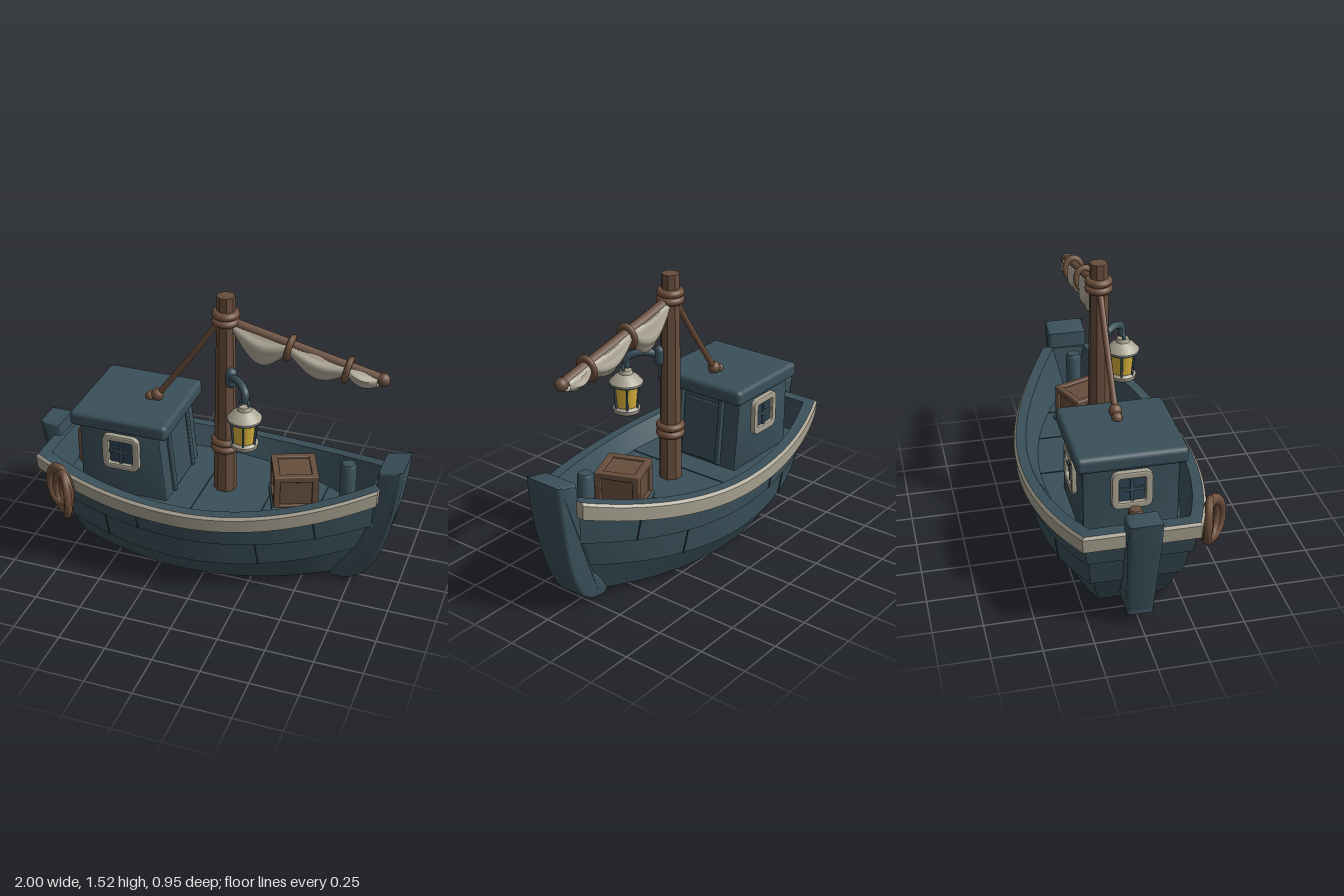
import * as THREE from 'three';
import { toCreasedNormals } from 'three/addons/utils/BufferGeometryUtils.js';
import { RoundedBoxGeometry } from 'three/addons/geometries/RoundedBoxGeometry.js';

const mat = (name, color, side = THREE.FrontSide) => new THREE.MeshStandardMaterial({ name, color, side });
const M = {
  hull: mat('slate paint', 0x3a505a, THREE.DoubleSide),
  seam: mat('dark seam', 0x26363d),
  trim: mat('weathered cream', 0xa9a392, THREE.DoubleSide),
  wood: mat('brown timber', 0x684e3d),
  rope: mat('brown rope', 0x6e4f3b),
  sail: mat('sail canvas', 0xb3ac9b, THREE.DoubleSide),
  pane: mat('window glass', 0x2e4353),
  glow: mat('lantern yellow', 0xdcb53c),
};
const V = (x, y, z) => new THREE.Vector3(x, y, z);

function add(parent, name, geo, material, pos = [0, 0, 0], rot = [0, 0, 0]) {
  const m = new THREE.Mesh(geo, material);
  m.name = name;
  m.position.set(...pos);
  m.rotation.set(...rot);
  parent.add(m);
  return m;
}
const box = (w, h, d, r = 0.012) => new RoundedBoxGeometry(w, h, d, 2, r);
const cyl = (rt, rb, h, n = 20) => new THREE.CylinderGeometry(rt, rb, h, n);
const lathe = (pts, n = 24) => toCreasedNormals(new THREE.LatheGeometry(pts.map(p => new THREE.Vector2(...p)), n), 0.6);
const tube = (pts, r, n = 24) => new THREE.TubeGeometry(new THREE.CatmullRomCurve3(pts.map(p => V(...p))), n, r, 10);

// Skin between rows of points; every row is a closed ring
function skin(rows, crease = 0.45) {
  const pos = [], n = rows[0].length;
  for (let i = 0; i < rows.length - 1; i++) for (let j = 0; j < n; j++) {
    const k = (j + 1) % n, a = rows[i][j], b = rows[i][k], c = rows[i + 1][k], d = rows[i + 1][j];
    for (const p of [a, d, b, b, d, c]) pos.push(p.x, p.y, p.z);
  }
  const g = new THREE.BufferGeometry();
  g.setAttribute('position', new THREE.Float32BufferAttribute(pos, 3));
  g.computeVertexNormals();
  return toCreasedNormals(g, crease);
}

// Point on a hull line: stern/bow x, half widths and heights at middle, stern, bow
function lineAt([x0, x1, zm, zs, zb, ym, ys, yb], x) {
  const mix = (mid, stern, bow, c) => {
    const t = x < c ? (c - x) / (c - x0) : (x - c) / (x1 - c);
    return mid + ((x < c ? stern : bow) - mid) * t * t;
  };
  return V(x, mix(ym, ys, yb, -0.05), mix(zm, zs, zb, -0.12));
}
// Ring from bow to stern along the left side and back along the right
function ring(line, n = 36) {
  const side = [];
  for (let i = 0; i <= n; i++) side.push(lineAt(line, line[1] + (line[0] - line[1]) * i / n));
  return [...side, ...side.map(p => V(p.x, p.y, -p.z)).reverse()];
}
const seamTop = [-0.87, 0.85, 0.385, 0.25, 0.08, 0.30, 0.38, 0.40];
const seamTopOut = [-0.88, 0.86, 0.402, 0.262, 0.092, 0.30, 0.38, 0.40];
const seamLow = [-0.81, 0.78, 0.352, 0.215, 0.065, 0.155, 0.22, 0.24];
const seamLowOut = [-0.82, 0.79, 0.372, 0.23, 0.078, 0.155, 0.22, 0.24];
const sheer = [-0.905, 0.87, 0.412, 0.27, 0.10, 0.42, 0.49, 0.565];
const bilge = [-0.72, 0.70, 0.27, 0.17, 0.05, 0.01, 0.045, 0.05];
const capOut = [-0.922, 0.88, 0.446, 0.282, 0.14, 0.498, 0.57, 0.648];
const capIn = [-0.86, 0.85, 0.395, 0.245, 0.09, 0.498, 0.57, 0.648];
const deckEdge = [-0.82, 0.81, 0.335, 0.21, 0.03, 0.40, 0.40, 0.40];

function buildHull(g) {
  const keel = [-0.70, 0.68, 0, 0, 0, 0.003, 0.04, 0.04];
  add(g, 'hullPlanking', skin([sheer, seamTopOut, seamTop, seamLowOut, seamLow, bilge, keel].map(l => ring(l))), M.hull);
  add(g, 'gunwale', skin([
    capOut, [-0.932, 0.882, 0.459, 0.291, 0.15, 0.484, 0.556, 0.634],
    [-0.925, 0.88, 0.455, 0.287, 0.145, 0.412, 0.482, 0.557],
    [-0.89, 0.865, 0.40, 0.255, 0.095, 0.412, 0.482, 0.557]].map(l => ring(l))), M.trim);
  add(g, 'bulwarkAndDeck', skin([[-0.75, 0.75, 0, 0, 0, 0.40, 0.40, 0.40], deckEdge, capIn, capOut].map(l => ring(l))), M.hull);
  // Plank joints on both sides, and across the deck
  const joints = [[-0.33, sheer, seamTopOut], [0.58, sheer, seamTopOut], [-0.52, seamTop, seamLowOut], [0.30, seamTop, seamLowOut]];
  for (const [x, top, low] of joints) for (const s of [1, -1]) {
    const a = lineAt(top, x), b = lineAt(low, x + 0.015);
    a.z = (a.z + 0.001) * s; b.z = (b.z + 0.001) * s;
    const m = add(g, 'plankJoint', new THREE.BoxGeometry(0.007, a.distanceTo(b), 0.006), M.seam, a.clone().add(b).multiplyScalar(0.5).toArray());
    m.quaternion.setFromUnitVectors(V(0, 1, 0), a.sub(b).normalize());
  }
  for (const x of [-0.07, 0.28, 0.55]) add(g, 'deckJoint', new THREE.BoxGeometry(0.007, 0.004, 2 * lineAt(deckEdge, x).z), M.seam, [x, 0.401, 0]);
}

// Bow and stern timbers: bevelled side outline, narrower towards the foot
function post(g, name, outer, inner, width, foot) {
  const s = new THREE.Shape();
  s.moveTo(...outer[0]);
  s.splineThru(outer.slice(1).map(p => new THREE.Vector2(...p)));
  inner.forEach(p => s.lineTo(...p));
  const geo = new THREE.ExtrudeGeometry(s, { depth: width - 0.04, bevelThickness: 0.02, bevelSize: 0.018, bevelOffset: -0.018, bevelSegments: 3, curveSegments: 20 });
  geo.translate(0, 0, 0.02 - width / 2);
  const p = geo.attributes.position;
  for (let i = 0; i < p.count; i++) p.setZ(i, p.getZ(i) * (foot + (1 - foot) * Math.min(1, p.getY(i) / 0.55)));
  add(g, name, toCreasedNormals(geo, 0.6), M.hull);
}

// Framed window facing +z
function makeWindow() {
  const w = new THREE.Group();
  w.name = 'window';
  const rr = (P, h, r) => {
    const s = new P();
    s.moveTo(-h + r, -h);
    for (let i = 0; i < 4; i++) {
      const a = i * Math.PI / 2 - Math.PI / 2, c = [[1, -1], [1, 1], [-1, 1], [-1, -1]][i];
      s.absarc(c[0] * (h - r), c[1] * (h - r), r, a, a + Math.PI / 2);
    }
    return s;
  };
  const f = rr(THREE.Shape, 0.094, 0.03);
  f.holes.push(rr(THREE.Path, 0.074, 0.018));
  add(w, 'windowFrame', new THREE.ExtrudeGeometry(f, { depth: 0.02, bevelThickness: 0.008, bevelSize: 0.008, bevelSegments: 2 }), M.trim);
  add(w, 'windowPane', new THREE.BoxGeometry(0.15, 0.15, 0.008), M.pane, [0, 0, 0.004]);
  add(w, 'windowBar', new THREE.BoxGeometry(0.15, 0.016, 0.016), M.hull, [0, 0, 0.01]);
  add(w, 'windowBar', new THREE.BoxGeometry(0.016, 0.15, 0.016), M.hull, [0, 0, 0.01]);
  return w;
}

function buildCabin(g) {
  const s = new THREE.Shape([[-0.69, 0.39], [-0.21, 0.39], [-0.25, 0.80], [-0.69, 0.80]].map(p => new THREE.Vector2(...p)));
  const body = new THREE.ExtrudeGeometry(s, { depth: 0.45, bevelThickness: 0.015, bevelSize: 0.012, bevelOffset: -0.012, bevelSegments: 2 });
  add(g, 'cabinWalls', toCreasedNormals(body, 0.6), M.hull, [0, 0, -0.225]);
  add(g, 'cabinRoof', box(0.535, 0.085, 0.55, 0.025), M.hull, [-0.463, 0.822, 0]);
  // Door and its posts on the sloping front wall
  add(g, 'cabinDoor', box(0.02, 0.33, 0.22, 0.006), M.hull, [-0.228, 0.575, 0], [0, 0, 0.1]);
  for (const z of [-0.13, 0.13]) add(g, 'doorPost', box(0.03, 0.37, 0.03, 0.006), M.hull, [-0.226, 0.59, z], [0, 0, 0.1]);
  for (const [x, z, r] of [[-0.455, 0.238, 0], [-0.455, -0.238, Math.PI], [-0.688, 0, -Math.PI / 2]]) {
    const w = makeWindow();
    w.position.set(x, 0.657, z);
    w.rotation.y = r;
    g.add(w);
  }
}

function buildRig(g) {
  // Mast with rope lashings
  const mast = cyl(0.046, 0.062, 1.13, 8).toNonIndexed();
  mast.computeVertexNormals();
  add(g, 'mast', mast, M.wood, [0.03, 0.955, 0], [0, Math.PI / 8, 0]);
  for (const [y, r] of [[0.655, 0.055], [0.695, 0.055], [1.385, 0.051], [1.423, 0.05]])
    add(g, 'mastLashing', new THREE.TorusGeometry(r, 0.021, 10, 28), M.rope, [0.03, y, 0], [Math.PI / 2, 0, 0]);
  // Boom, hanging from the mast at a slope
  const A = V(0.06, 1.38, 0), B = V(0.84, 1.20, 0), tilt = Math.atan2(B.y - A.y, B.x - A.x);
  add(g, 'boom', tube([A.toArray(), B.toArray()], 0.027, 4), M.wood);
  add(g, 'boomEnd', new THREE.SphereGeometry(0.034, 16, 12), M.wood, B.toArray());
  // Furled sail: drooping lobes between the ties
  const rows = [];
  for (const [t0, t1, deep] of [[0.02, 0.385, 0.185], [0.385, 0.77, 0.14], [0.77, 0.97, 0.09]])
    for (let i = 0; i <= 12; i++) {
      const q = Math.sin(Math.PI * i / 12), c = A.clone().lerp(B, t0 + (t1 - t0) * i / 12), d = 0.06 + (deep - 0.06) * q, row = [];
      for (let j = 0; j < 28; j++) {
        const a = j / 28 * Math.PI * 2, ripple = 1 + 0.1 * q * Math.sin(a * 6);
        row.push(V(c.x, c.y + 0.015 - d / 2 + Math.cos(a) * d / 2 * ripple, Math.sin(a) * (0.034 + 0.018 * q) * ripple));
      }
      rows.push(row);
    }
  add(g, 'furledSail', skin(rows, 0.7), M.sail);
  for (const t of [0.39, 0.77]) {
    const c = A.clone().lerp(B, t);
    const tie = add(g, 'sailTie', new THREE.TorusGeometry(0.046, 0.016, 10, 24), M.rope, [c.x, c.y - 0.02, 0], [0, Math.PI / 2, tilt, 'ZYX']);
    tie.scale.y = 1.2;
  }
  // Stay from the mast to the cabin roof
  add(g, 'stay', tube([[0.0, 1.38, 0], [-0.17, 1.13, 0], [-0.34, 0.895, 0]], 0.016), M.rope);
  add(g, 'stayKnot', new THREE.SphereGeometry(0.034, 14, 10), M.rope, [-0.345, 0.89, 0]);
  add(g, 'stayEnd', new THREE.SphereGeometry(0.028, 14, 10), M.rope, [-0.385, 0.872, 0]);
}

function buildLantern(g) {
  add(g, 'bracketPlate', new THREE.CapsuleGeometry(0.03, 0.05, 6, 14), M.hull, [0.072, 1.085, 0.035]);
  add(g, 'bracketArm', tube([[0.075, 1.09, 0.04], [0.115, 1.105, 0.08], [0.155, 1.105, 0.12], [0.187, 1.08, 0.155], [0.187, 1.03, 0.16]], 0.02), M.hull);
  const l = new THREE.Group();
  l.name = 'lantern';
  l.position.set(0.187, 0, 0.163);
  g.add(l);
  add(l, 'lanternRing', new THREE.TorusGeometry(0.023, 0.009, 8, 20), M.hull, [0, 1.025, 0]);
  add(l, 'lanternCap', lathe([[0, 1.02], [0.03, 1.015], [0.037, 0.995], [0.06, 0.98], [0.088, 0.95], [0.086, 0.935], [0, 0.935]].reverse()), M.trim);
  add(l, 'lanternRim', new THREE.TorusGeometry(0.079, 0.009, 8, 28), M.hull, [0, 0.941, 0], [Math.PI / 2, 0, 0]);
  add(l, 'lanternGlass', cyl(0.07, 0.058, 0.13, 12), M.glow, [0, 0.875, 0]);
  for (let i = 0; i < 6; i++) {
    const a = i * Math.PI / 3 + 0.3, c = Math.cos(a), s = Math.sin(a);
    add(l, 'lanternBar', tube([[0.073 * c, 0.94, 0.073 * s], [0.061 * c, 0.81, 0.061 * s]], 0.006, 2), M.hull);
  }
  add(l, 'lanternBase', lathe([[0, 0.775], [0.055, 0.775], [0.068, 0.785], [0.072, 0.805], [0.06, 0.818], [0, 0.818]]), M.trim);
}

function buildFittings(g) {
  // Crate with raised edge battens
  const c = new THREE.Group();
  c.name = 'crate';
  c.position.set(0.41, 0.51, 0);
  c.rotation.y = 0.38;
  g.add(c);
  add(c, 'crateBase', box(0.25, 0.03, 0.25, 0.008), M.hull, [0, -0.097, 0]);
  add(c, 'crateBody', new THREE.BoxGeometry(0.205, 0.18, 0.205), M.wood);
  for (const a of [-1, 1]) for (const b of [-1, 1]) {
    add(c, 'crateBatten', box(0.232, 0.034, 0.034, 0.006), M.wood, [0, a * 0.085, b * 0.099]);
    add(c, 'crateBatten', box(0.034, 0.034, 0.232, 0.006), M.wood, [a * 0.099, b * 0.085, 0]);
    add(c, 'crateBatten', box(0.034, 0.2, 0.034, 0.006), M.wood, [a * 0.099, 0, b * 0.099]);
  }
  // Mooring posts
  const bollard = (r, h) => lathe([[r, 0], [r, h - 0.02], [r * 0.8, h - 0.004], [0, h]]);
  add(g, 'bowBollard', bollard(0.042, 0.29), M.hull, [0.695, 0.40, 0]);
  add(g, 'sternBollard', bollard(0.036, 0.20), M.wood, [-0.78, 0.40, 0]);
  // Rope coil over the rail
  for (const [x, y, z, r, t] of [[-0.755, 0.455, 0.375, -0.35, 0.1], [-0.73, 0.44, 0.395, -0.65, -0.08], [-0.715, 0.435, 0.405, -0.95, 0.05]]) {
    const m = add(g, 'ropeCoil', new THREE.TorusGeometry(0.077, 0.021, 10, 32), M.rope, [x, y, z], [0, r, t]);
    m.scale.y = 1.45;
  }
}

export function createModel() {
  const g = new THREE.Group();
  g.name = 'fishingBoat';
  buildHull(g);
  post(g, 'stemPost', [[0.66, 0.008], [0.76, 0.03], [0.84, 0.10], [0.91, 0.25], [0.96, 0.45], [0.99, 0.66], [0.995, 0.755]],
    [[0.87, 0.73], [0.855, 0.58], [0.82, 0.38], [0.74, 0.18], [0.62, 0.05]], 0.215, 0.7);
  post(g, 'sternPost', [[-0.74, 0.065], [-0.89, 0.065], [-0.905, 0.10], [-0.95, 0.34], [-0.985, 0.53], [-1.0, 0.64]],
    [[-0.885, 0.64], [-0.875, 0.50], [-0.82, 0.28], [-0.72, 0.10]], 0.17, 0.75);
  buildCabin(g);
  buildRig(g);
  buildLantern(g);
  buildFittings(g);
  return g;
}
